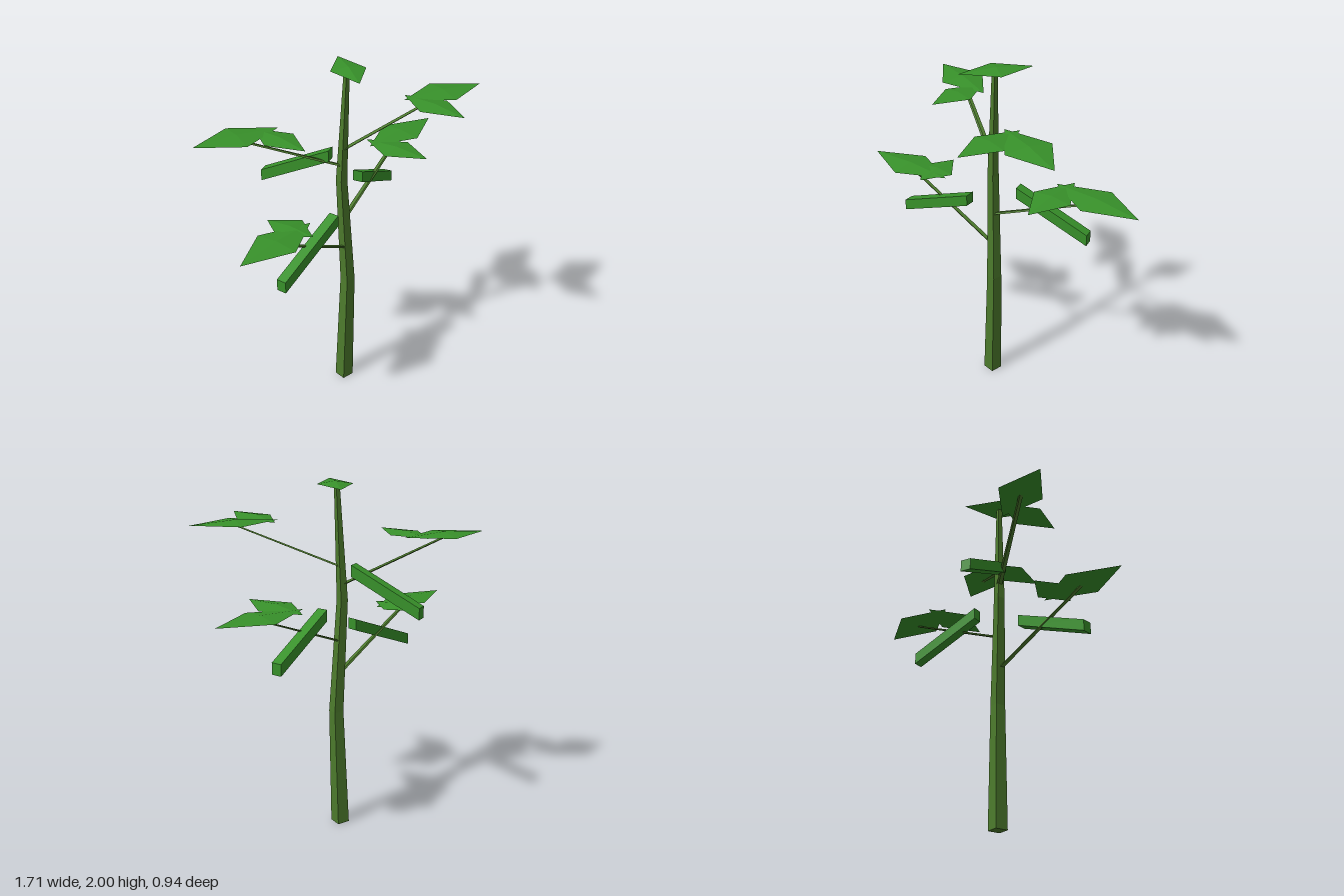
import * as THREE from 'three';

const bark = new THREE.MeshStandardMaterial({ color: 0x4c7a2c, flatShading: true });
const green = new THREE.MeshStandardMaterial({ color: 0x38912a, flatShading: true });

// Square stem swept through level rings [x, y, z, half width]
function stem(name, rings) {
  const n = rings.length - 1;
  const geo = new THREE.BoxGeometry(2, 1, 2, 1, n, 1);
  const p = geo.attributes.position;
  for (let i = 0; i < p.count; i++) {
    const [x, y, z, r] = rings[Math.round((p.getY(i) + 0.5) * n)];
    p.setXYZ(i, x + p.getX(i) * r, y, z + p.getZ(i) * r);
  }
  geo.computeVertexNormals();
  const mesh = new THREE.Mesh(geo, bark);
  mesh.name = name;
  return mesh;
}

// Flat four-pointed leaf: centre, half-length vector (dx, dz), half width
function leaf(name, [x, y, z], [dx, dz], halfWidth) {
  const mesh = new THREE.Mesh(new THREE.OctahedronGeometry(1), green);
  mesh.name = name;
  mesh.position.set(x, y, z);
  mesh.rotation.y = Math.atan2(-dz, dx);
  mesh.scale.set(Math.hypot(dx, dz), 0.016, halfWidth);
  return mesh;
}

// Drooping beam with upright ends: a yawed box sheared downwards
function beam(name, a, b) {
  const start = new THREE.Vector3(...a), end = new THREE.Vector3(...b);
  const d = end.clone().sub(start);
  const length = Math.hypot(d.x, d.z);
  const geo = new THREE.BoxGeometry(length, 0.065, 0.058);
  const p = geo.attributes.position;
  for (let i = 0; i < p.count; i++) p.setY(i, p.getY(i) + (p.getX(i) / length) * d.y);
  geo.computeVertexNormals();
  const mesh = new THREE.Mesh(geo, green);
  mesh.name = name;
  mesh.position.copy(start).add(end).multiplyScalar(0.5);
  mesh.rotation.y = Math.atan2(-d.z, d.x);
  return mesh;
}

export function createModel() {
  const model = new THREE.Group();
  model.name = 'plant';

  // Bent, tapering trunk and crown leaf
  model.add(stem('trunk', [
    [-0.015, 0, -0.073, 0.037],
    [0.006, 0.7, -0.062, 0.029],
    [-0.023, 1.35, -0.075, 0.022],
    [0.004, 1.98, -0.06, 0.011],
  ]));
  model.add(leaf('crownLeaf', [0.015, 1.982, -0.06], [0.085, -0.182], 0.097));

  // Each branch carries a large leaf on its end and a small one beside it
  const branches = [
    { name: 'lowerRight', from: [-0.01, 0.92, -0.06], to: [-0.59, 1.225, 0.07], big: [-0.265, 0.05],
      side: [-0.44, 1.232, -0.01], small: [0.035, 0.15], w: 0.106 },
    { name: 'lowerLeft', from: [-0.015, 1.11, -0.065], to: [0.588, 1.375, -0.25], big: [0.267, -0.027],
      side: [0.414, 1.384, -0.1], small: [0.04, 0.208], w: 0.115 },
    { name: 'upperRight', from: [-0.02, 1.435, -0.075], to: [-0.545, 1.675, -0.295], big: [-0.238, -0.045],
      side: [-0.393, 1.686, -0.135], small: [0.015, 0.195], w: 0.1 },
    { name: 'upperLeft', from: [-0.015, 1.535, -0.065], to: [0.5, 1.78, 0.157], big: [0.235, 0.055],
      side: [0.33, 1.79, 0.258], small: [0.01, 0.21], w: 0.105 },
  ];
  for (const b of branches) {
    const group = new THREE.Group();
    group.name = b.name + 'Branch';
    group.add(stem(b.name + 'Stem', [[...b.from, 0.012], [...b.to, 0.009]]));
    group.add(leaf(b.name + 'BigLeaf', [b.to[0], b.side[1] + 0.003, b.to[2]], b.big, 0.131));
    group.add(leaf(b.name + 'SmallLeaf', b.side, b.small, b.w));
    model.add(group);
  }

  // Hanging pods around the trunk
  model.add(beam('rightPod', [-0.14, 1.173, -0.005], [-0.59, 0.985, 0.095]));
  model.add(beam('leftPod', [0.135, 1.3, -0.12], [0.52, 1.113, -0.283]));
  model.add(beam('backPod', [-0.08, 1.513, -0.1], [-0.268, 1.327, -0.46]));
  return model;
}
